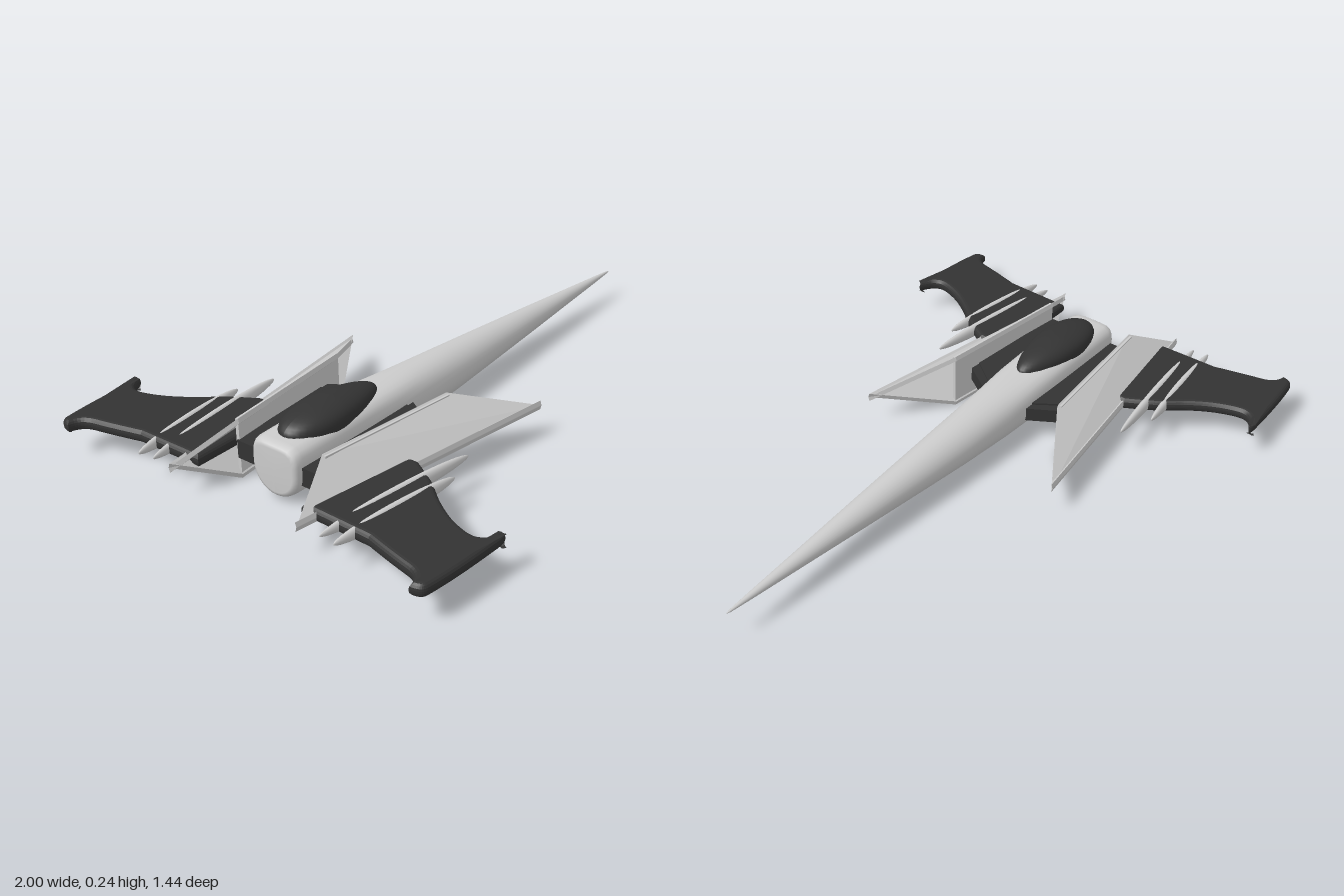
import * as THREE from 'three';
import { ConvexGeometry } from 'three/addons/geometries/ConvexGeometry.js';

const AXIS_Y = 0.1;

export function createModel() {
  const model = new THREE.Group();
  model.name = 'starfighter';
  const light = new THREE.MeshStandardMaterial({ color: 0xcccccc });
  const dark = new THREE.MeshStandardMaterial({ color: 0x333333 });

  const add = (parent, name, geometry, material) => {
    const mesh = new THREE.Mesh(geometry, material);
    mesh.name = name;
    parent.add(mesh);
    return mesh;
  };

  // Horizontal slab centred on the ship's axis, outline given as a shape in x, z
  const slab = (shape, thickness, bevel) => {
    const depth = thickness - 2 * bevel;
    const geo = new THREE.ExtrudeGeometry(shape, {
      depth, curveSegments: 8, bevelEnabled: bevel > 0, bevelSize: bevel,
      bevelThickness: bevel, bevelOffset: -bevel, bevelSegments: 4,
    });
    geo.rotateX(Math.PI / 2);
    geo.translate(0, AXIS_Y + depth / 2, 0);
    return geo;
  };
  const polygon = (pts) => new THREE.Shape(pts.map((p) => new THREE.Vector2(...p)));

  // Flat plate: corners joined to a copy of them moved by an offset
  const plate = (corners, offset) => {
    const pts = corners.map((c) => new THREE.Vector3(...c));
    const shift = new THREE.Vector3(...offset);
    return new ConvexGeometry([...pts, ...pts.map((p) => p.clone().add(shift))]);
  };

  // Fuselage: long needle whose upper half turns squarer toward the tail
  const profile = [
    [0, -0.8], [0.07, -0.8], [0.08, -0.797], [0.086, -0.788], [0.089, -0.77], [0.09, -0.7],
    [0.091, -0.5], [0.09, -0.35], [0.087, -0.2], [0.077, 0], [0.063, 0.2], [0.045, 0.45],
    [0.026, 0.7], [0.011, 0.9], [0.004, 0.985], [0, 1],
  ].map(([r, x]) => new THREE.Vector2(r, x));
  const body = new THREE.LatheGeometry(profile, 32, Math.PI / 2);
  body.rotateZ(-Math.PI / 2);
  const bp = body.attributes.position;
  for (let i = 0; i < bp.count; i++) {
    const x = bp.getX(i), y = bp.getY(i), z = bp.getZ(i), r = Math.hypot(y, z);
    if (y <= 0 || r < 1e-6) continue;
    const power = 2 + 3 * THREE.MathUtils.smoothstep(-x, 0.1, 0.6);
    const k = Math.pow(Math.pow(y / r, power) + Math.pow(Math.abs(z) / r, power), -1 / power);
    bp.setY(i, y * k);
    bp.setZ(i, z * k);
  }
  body.computeVertexNormals();
  body.translate(0, AXIS_Y, 0);
  add(model, 'fuselage', body, light);

  // Canopy: egg-shaped dome with a flattened top, narrower toward the nose
  const canopy = new THREE.SphereGeometry(1, 40, 24);
  const cp = canopy.attributes.position;
  for (let i = 0; i < cp.count; i++) {
    const x = cp.getX(i), y = cp.getY(i), z = cp.getZ(i);
    cp.setXYZ(i,
      -0.555 + 0.2 * x,
      0.175 + Math.sign(y) * Math.pow(Math.abs(y), 0.65) * (0.065 - 0.012 * Math.max(0, x)),
      0.08 * z * (1 - 0.22 * x));
  }
  canopy.computeVertexNormals();
  add(model, 'canopy', canopy, dark);

  // Wing outline: flared tip with swept, curved edges
  const wing = new THREE.Shape();
  wing.moveTo(-0.9, 0.2);
  wing.lineTo(-0.53, 0.2);
  wing.lineTo(-0.53, 0.31);
  wing.splineThru([[-0.585, 0.4], [-0.65, 0.48], [-0.7, 0.56], [-0.728, 0.64],
    [-0.715, 0.68], [-0.67, 0.708]].map((p) => new THREE.Vector2(...p)));
  wing.quadraticCurveTo(-0.67, 0.718, -0.72, 0.715);
  wing.quadraticCurveTo(-0.88, 0.71, -0.975, 0.695);
  wing.quadraticCurveTo(-1.0, 0.69, -1.0, 0.652);
  wing.quadraticCurveTo(-0.955, 0.65, -0.945, 0.6);
  wing.quadraticCurveTo(-0.93, 0.53, -0.905, 0.44);

  const buildSide = (name) => {
    const side = new THREE.Group();
    side.name = name;

    // Pylon with a slightly thinner leading edge
    add(side, 'pylon', slab(polygon([[-0.775, 0.03], [-0.3, 0.03], [-0.31, 0.09],
      [-0.385, 0.195], [-0.775, 0.168]]), 0.06, 0), dark);
    add(side, 'pylonLeadingEdge', slab(polygon([[-0.6, 0.03], [-0.27, 0.03], [-0.28, 0.09],
      [-0.35, 0.2], [-0.6, 0.18]]), 0.048, 0), dark);

    // Nacelle: inner wall and two sloping plates meeting in an outer ridge
    const ridgeBack = [-0.97, 0.1, 0.247], ridgeFront = [-0.02, 0.1, 0.385];
    for (const [part, y, drop] of [['upperPlate', 0.2, -0.015], ['lowerPlate', 0, 0.015]]) {
      add(side, part, plate([[-0.77, y, 0.163], [-0.28, y, 0.215], ridgeFront, ridgeBack],
        [0, drop, -0.004]), light);
    }
    add(side, 'innerWall', plate([[-0.77, 0, 0.163], [-0.28, 0, 0.215],
      [-0.28, 0.2, 0.215], [-0.77, 0.2, 0.163]].map(([x, y, z]) => [x, y === 0 ? 0.004 : 0.196, z]),
    [0, 0, 0.012]), light);

    add(side, 'wing', slab(wing, 0.042, 0.018), dark);

    // Slender rings around the wing root
    for (const [x, z, half] of [[-0.68, 0.354, 0.285], [-0.743, 0.402, 0.228]]) {
      const fin = add(side, 'wingRing', new THREE.SphereGeometry(1, 32, 16), light);
      fin.position.set(x, AXIS_Y, z);
      fin.scale.set(half, 0.026, 0.016);
      fin.rotation.y = -0.115;
    }
    return side;
  };

  const left = buildSide('leftWingAssembly');
  const right = buildSide('rightWingAssembly');
  right.scale.z = -1;
  model.add(left, right);
  return model;
}
